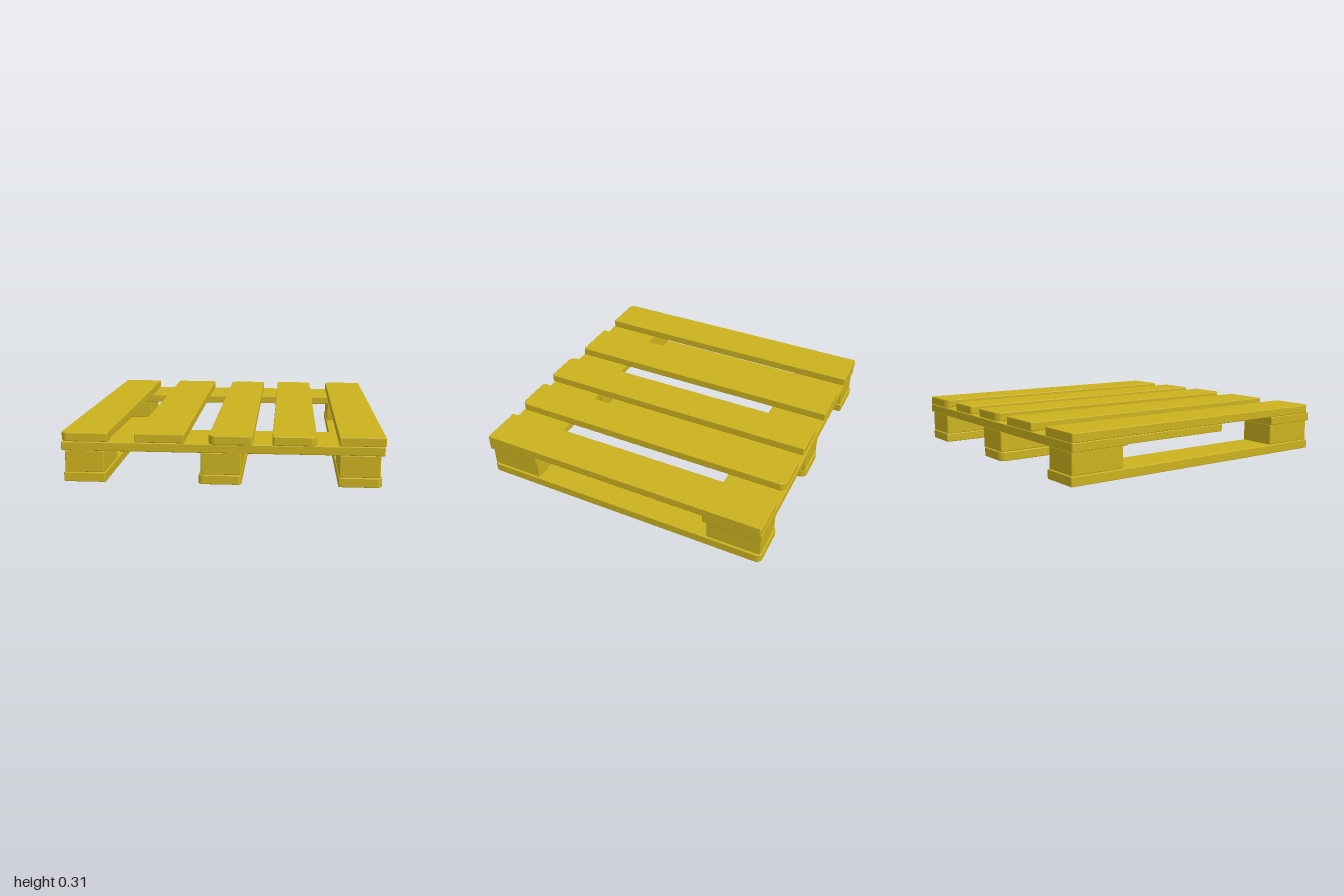
import * as THREE from 'three';

const wood = new THREE.MeshStandardMaterial({ color: 0xccb21e });
const BEVEL = 0.005;

// Board lying flat between two corners; cuts = worn corner sizes
// [front left, front right, back right, back left] as drawn from -x to +x.
function board(name, [x0, x1], [y0, y1], [z0, z1], cuts = [0.006, 0.006, 0.006, 0.006]) {
  const [a, b, c, d] = cuts;
  const s = new THREE.Shape();
  s.moveTo(x0 + a, -z1);
  s.lineTo(x1 - b, -z1);
  s.quadraticCurveTo(x1 - b * 0.25, -z1 + b * 0.25, x1, -z1 + b);
  s.lineTo(x1, -z0 - c);
  s.quadraticCurveTo(x1 - c * 0.25, -z0 - c * 0.25, x1 - c, -z0);
  s.lineTo(x0 + d, -z0);
  s.quadraticCurveTo(x0 + d * 0.25, -z0 - d * 0.25, x0, -z0 - d);
  s.lineTo(x0, -z1 + a);
  s.quadraticCurveTo(x0 + a * 0.25, -z1 + a * 0.25, x0 + a, -z1);
  const geo = new THREE.ExtrudeGeometry(s, {
    depth: y1 - y0 - 2 * BEVEL, curveSegments: 4,
    bevelThickness: BEVEL, bevelSize: BEVEL, bevelOffset: -BEVEL, bevelSegments: 2,
  });
  geo.rotateX(-Math.PI / 2).translate(0, y0 + BEVEL, 0);
  const mesh = new THREE.Mesh(geo, wood);
  mesh.name = name;
  return mesh;
}

export function createModel() {
  const pallet = new THREE.Group();
  pallet.name = 'pallet';

  // Top slats, slightly uneven in width and length
  const slats = [
    [[-0.997, -0.705], [-1, 0.973], [0.035, 0.006, 0.006, 0.006]],
    [[-0.538, -0.23], [-0.998, 0.975]],
    [[-0.079, 0.19], [-0.988, 0.996], [0.035, 0.012, 0.012, 0.035]],
    [[0.308, 0.576], [-0.992, 0.99], [0.015, 0.03, 0.035, 0.012]],
    [[0.71, 0.99], [-0.995, 0.975], [0.006, 0.006, 0.012, 0.035]],
  ];
  slats.forEach(([x, z, cuts], i) => pallet.add(board(`topSlat${i + 1}`, x, [0.254, 0.31], z, cuts)));

  // Cross boards under the slats
  pallet.add(board('frontCrossBoard', [-0.993, 0.985], [0.198, 0.254], [0.602, 0.98]));
  pallet.add(board('backCrossBoard', [-0.993, 0.985], [0.198, 0.254], [-0.998, -0.608]));

  // Bottom runners, each with a spacer block at both ends
  const runners = [
    ['right', [-0.982, -0.72], [-0.974, -0.728]],
    ['middle', [-0.143, 0.121], [-0.13, 0.118], [0.02, 0.02, 0.035, 0.035]],
    ['left', [0.71, 0.974], [0.714, 0.962], [0.006, 0.03, 0.03, 0.006]],
  ];
  for (const [side, x, blockX, cuts] of runners) {
    pallet.add(board(`${side}Runner`, x, [0, 0.06], [-0.998, 0.982], cuts));
    pallet.add(board(`${side}FrontBlock`, blockX, [0.06, 0.198], [0.612, 0.973]));
    pallet.add(board(`${side}BackBlock`, blockX, [0.06, 0.198], [-0.99, -0.63]));
  }
  return pallet;
}
